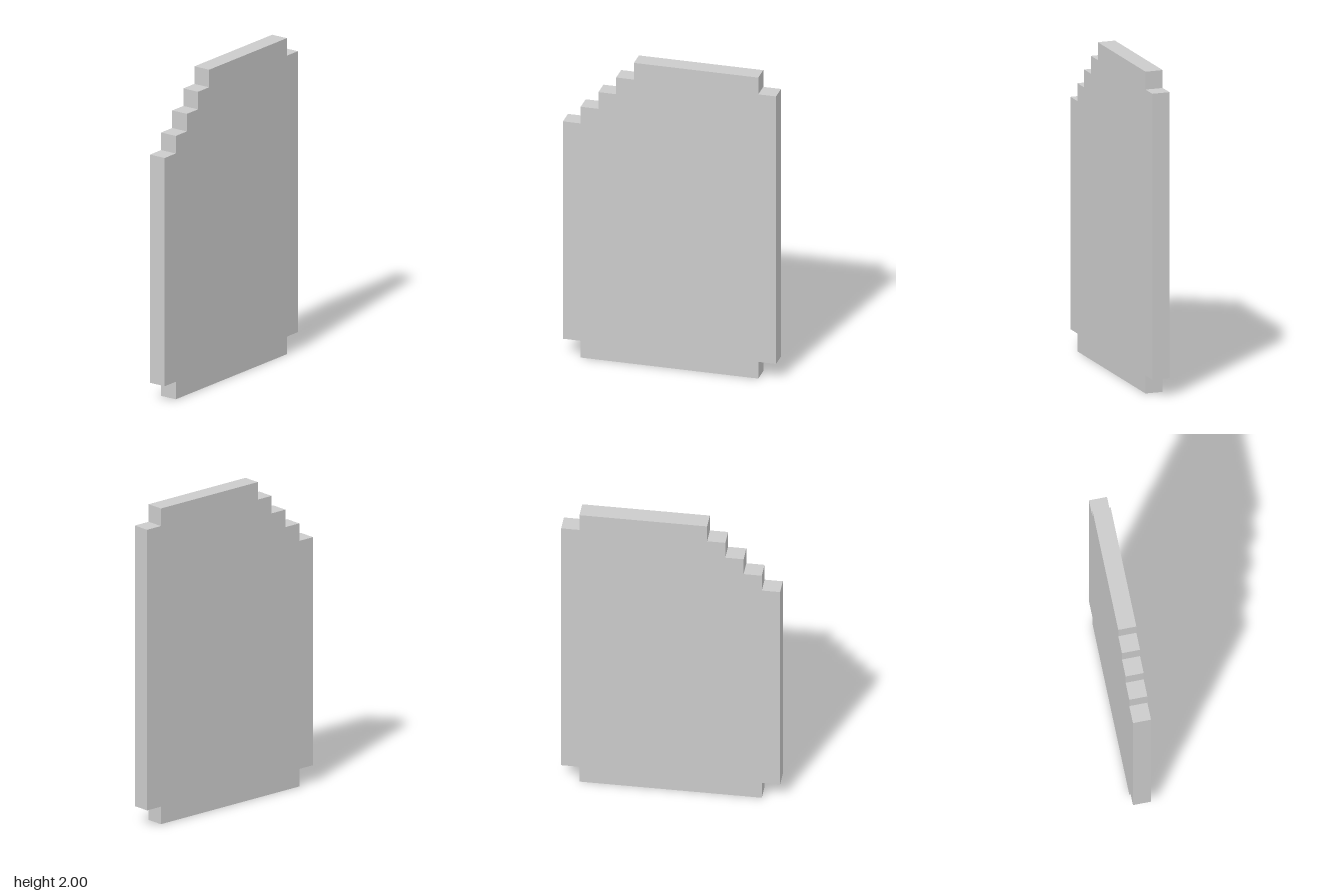
import * as THREE from 'three';

const U = 1 / 9; // one grid cell; the panel is 12 x 18 x 1 cells

export function createModel() {
  const group = new THREE.Group();
  group.name = 'steppedPanel';

  // Outline in cells, counter-clockwise from the bottom edge
  const outline = [
    [-5, 0], [5, 0], [5, 1], [6, 1],        // bottom edge and notched corner
    [6, 17], [5, 17], [5, 18], [-2, 18],    // tall side, notched corner, top edge
  ];
  // Staircase down the cut corner
  for (let i = 0; i < 4; i++) outline.push([-2 - i, 17 - i], [-3 - i, 17 - i]);
  outline.pop();
  outline.push([-5, 14], [-6, 14], [-6, 1], [-5, 1]);

  // Drop the repeated staircase corner
  const points = outline
    .filter(([x, y], i) => i === 0 || x !== outline[i - 1][0] || y !== outline[i - 1][1])
    .map(([x, y]) => new THREE.Vector2(x * U, y * U));

  // Flat slab, centred in depth
  const geometry = new THREE.ExtrudeGeometry(new THREE.Shape(points), { depth: U, bevelEnabled: false });
  geometry.translate(0, 0, -U / 2);

  const panel = new THREE.Mesh(geometry, new THREE.MeshStandardMaterial({ color: 0xcccccc, flatShading: true }));
  panel.name = 'panel';
  group.add(panel);
  return group;
}
